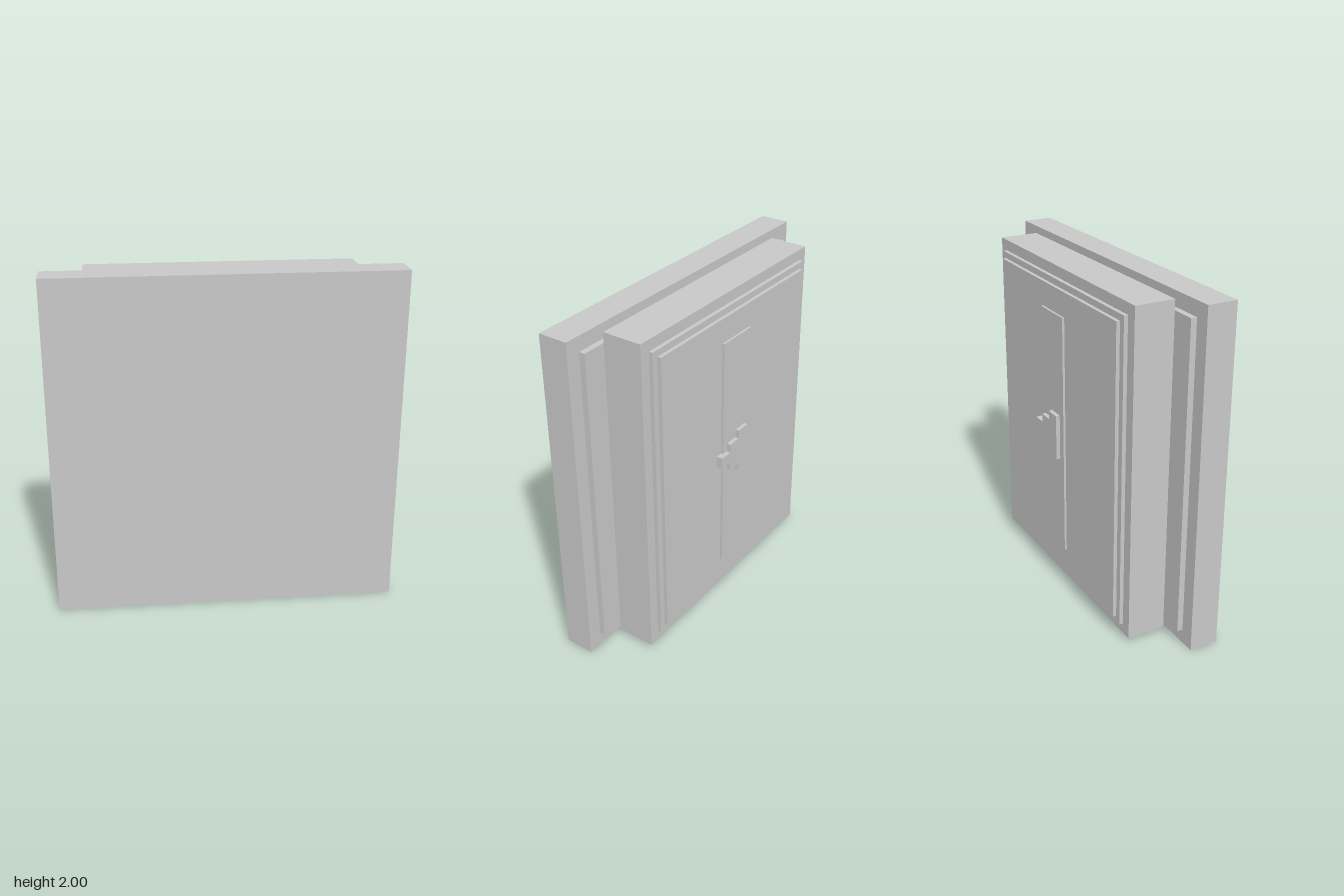
import * as THREE from 'three';

export function createModel() {
  const model = new THREE.Group();
  const grey = new THREE.MeshStandardMaterial({ color: 0xc8c8c8 });
  grey.name = 'light grey';

  // Box given by its limits on each axis
  const slab = (name, [x0, x1], [y0, y1], [z0, z1]) => {
    const mesh = new THREE.Mesh(new THREE.BoxGeometry(x1 - x0, y1 - y0, z1 - z0), grey);
    mesh.position.set((x0 + x1) / 2, (y0 + y1) / 2, (z0 + z1) / 2);
    mesh.name = name;
    model.add(mesh);
  };

  // Stepped slabs, from the front plate to the rear panel
  slab('frontPlate', [-1, 1], [0, 2], [0.087, 0.26]);
  slab('plateStep', [-0.914, 0.914], [0.085, 1.915], [0.052, 0.087]);
  slab('mainBlock', [-0.772, 0.772], [0.027, 1.974], [-0.179, 0.052]);
  slab('outerRearPanel', [-0.709, 0.709], [0.091, 1.91], [-0.202, -0.179]);
  slab('innerRearPanel', [-0.672, 0.672], [0.127, 1.873], [-0.223, -0.202]);

  // Upright strip on the rear panel
  slab('rearStrip', [-0.117, 0.14], [0.273, 1.73], [-0.236, -0.223]);

  // Stepped arrow pointing to +x
  const half = [[-0.073, 0.136], [0.018, 0.136], [0.018, 0.085], [0.103, 0.085], [0.103, 0.034], [0.184, 0.034]];
  const outline = [...half, ...half.map(([x, y]) => [x, -y]).reverse()];
  const shape = new THREE.Shape(outline.map(([x, y]) => new THREE.Vector2(x, y)));
  const arrow = new THREE.Mesh(new THREE.ExtrudeGeometry(shape, { depth: 0.037, bevelEnabled: false }), grey);
  arrow.position.set(0, 1.001, -0.26);
  arrow.name = 'steppedArrow';
  model.add(arrow);

  return model;
}
